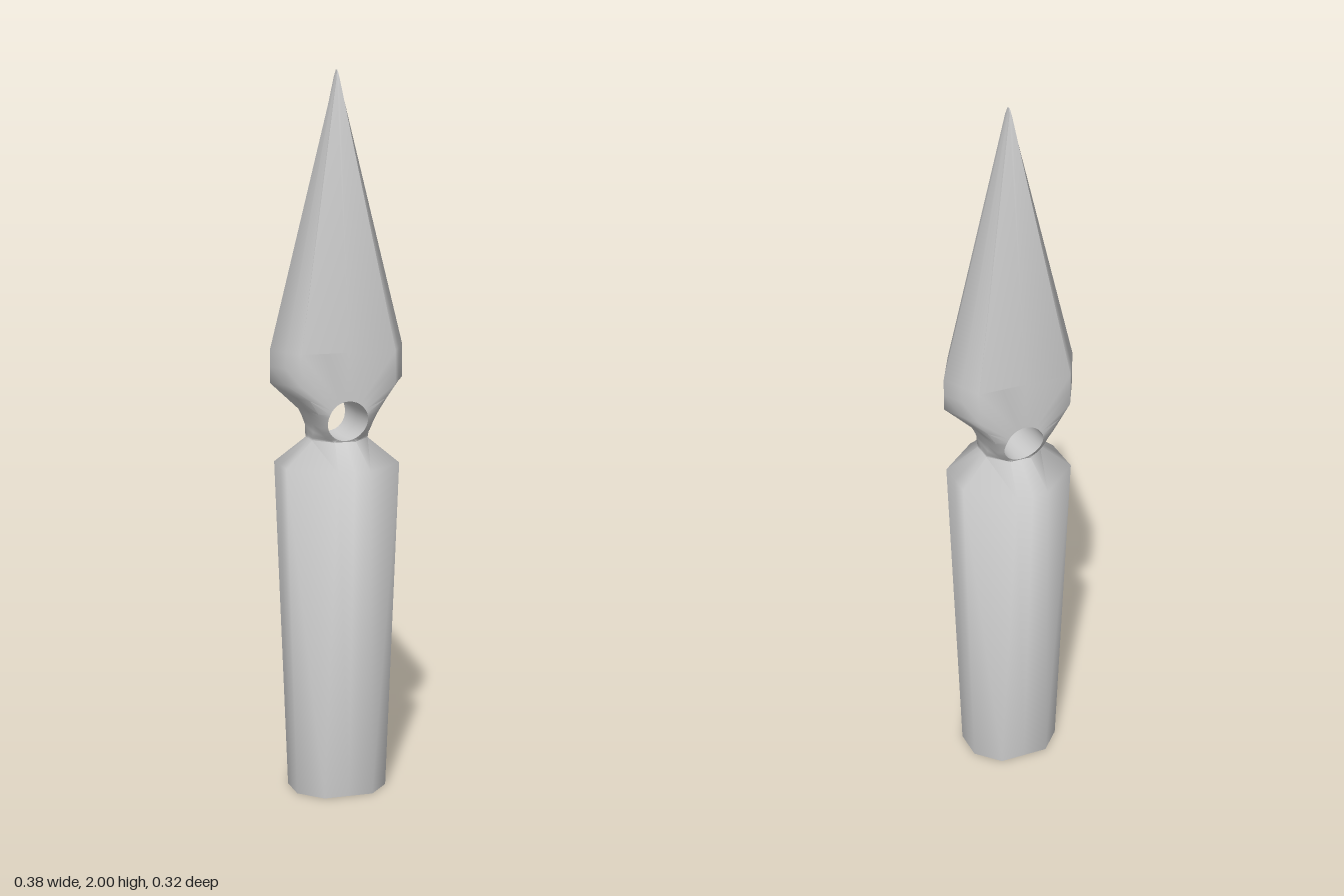
import * as THREE from 'three';
import { toCreasedNormals } from 'three/addons/utils/BufferGeometryUtils.js';

const mix = (p, q, t) => p.map((v, i) => v + (q[i] - v) * t);

// Inserts a midpoint between neighbouring points of a chain
const refine = (chain) => chain.flatMap((p, i) => (i ? [mix(chain[i - 1], p, 0.5), p] : [p]));

export function createModel() {
  const verts = [];

  // One triangle of the front-left quarter, mirrored into all four quarters
  function tri(a, b, c) {
    const [A, B, C] = [a, b, c].map((p) => new THREE.Vector3(...p));
    if (B.clone().sub(A).cross(C.clone().sub(A)).length() < 1e-8) return;
    for (const sx of [1, -1]) for (const sz of [1, -1]) {
      const order = sx * sz > 0 ? [a, b, c] : [a, c, b];
      for (const p of order) verts.push(p[0] * sx, p[1], p[2] * sz);
    }
  }

  function grid(rows) {
    for (let v = 0; v < rows.length - 1; v++) {
      for (let u = 0; u < rows[v].length - 1; u++) {
        const [a, b, c, d] = [rows[v][u], rows[v][u + 1], rows[v + 1][u + 1], rows[v + 1][u]];
        tri(a, b, c);
        tri(a, c, d);
      }
    }
  }

  // Quarter cross-sections, from the middle of the front round to the side
  const octagon = (y, x, z, a, c) => [[0, y, z], [a, y, z], [x, y, c], [x, y, 0]];
  const hexagon = (y, x, a, z) => [[0, y, z], [a, y, z], [(a + x) / 2, y, z / 2], [x, y, 0]];
  const ranges = [];
  function part(name, build) {
    const start = verts.length;
    build();
    ranges.push({ name, start, end: verts.length });
  }

  // Tapered hollow socket, open at the bottom, with a sloped shoulder
  part('socket', () => grid([
    octagon(0, 0.13, 0.11, 0.07, 0.045),
    octagon(0.93, 0.162, 0.162, 0.046, 0.06),
    octagon(1.0, 0.08, 0.08, 0.03, 0.03),
  ]));

  // Neck pierced from front to back by a round eye
  part('piercedNeck', () => {
    const front = [
      [0, 1, 0.08], [0.03, 1, 0.08], [0.055, 1.012, 0.077], [0.068, 1.03, 0.082],
      [0.075, 1.055, 0.092], [0.085, 1.085, 0.106], [0.133, 1.16, 0.11],
      [0.133, 1.25, 0.11], [0, 1.25, 0.11],
    ];
    const side = [
      [0.08, 1, 0], [0.082, 1.015, 0], [0.09, 1.04, 0], [0.1, 1.065, 0],
      [0.11, 1.085, 0], [0.19, 1.16, 0], [0.19, 1.25, 0],
    ];
    const middle = side.map((p, i) => mix(front[i + 1], p, 0.5));
    middle[0] = [0.08, 1, 0.03];
    middle[1] = [0.08, 1.014, 0.036];

    // Eye wall and the faces around it
    const outer = refine(front);
    grid(outer.map((p, i) => {
      const t = -Math.PI / 2 + (Math.PI * i) / (outer.length - 1);
      const x = 0.057 * Math.cos(t), y = 1.06 + 0.057 * Math.sin(t);
      const z = 0.08 + 0.03 * Math.min(1, (y - 1) / 0.08);
      return [[x, y, 0], [x, y, z], p];
    }));

    // Flanks
    const [f, m, s] = [front.slice(1, 8), middle, side].map(refine);
    grid(f.map((p, i) => [p, m[i], s[i]]));
  });

  // Long six-sided blade
  part('blade', () => grid([
    hexagon(1.25, 0.19, 0.133, 0.11),
    hexagon(1.98, 0.006, 0.004, 0.013),
    hexagon(2.0, 0.001, 0.0007, 0.005),
    hexagon(2.0, 0, 0, 0),
  ]));

  // Normals are shared over the whole body so that the joins stay smooth
  let body = new THREE.BufferGeometry();
  body.setAttribute('position', new THREE.Float32BufferAttribute(verts, 3));
  body.scale(100, 100, 100);
  body = toCreasedNormals(body, THREE.MathUtils.degToRad(68));
  body.scale(0.01, 0.01, 0.01);

  const group = new THREE.Group();
  group.name = 'spearhead';
  const material = new THREE.MeshStandardMaterial({ color: 0xcccccc, side: THREE.DoubleSide });
  for (const { name, start, end } of ranges) {
    const geometry = new THREE.BufferGeometry();
    for (const key of ['position', 'normal']) {
      const slice = body.getAttribute(key).array.slice(start, end);
      geometry.setAttribute(key, new THREE.BufferAttribute(slice, 3));
    }
    const mesh = new THREE.Mesh(geometry, material);
    mesh.name = name;
    group.add(mesh);
  }
  return group;
}
